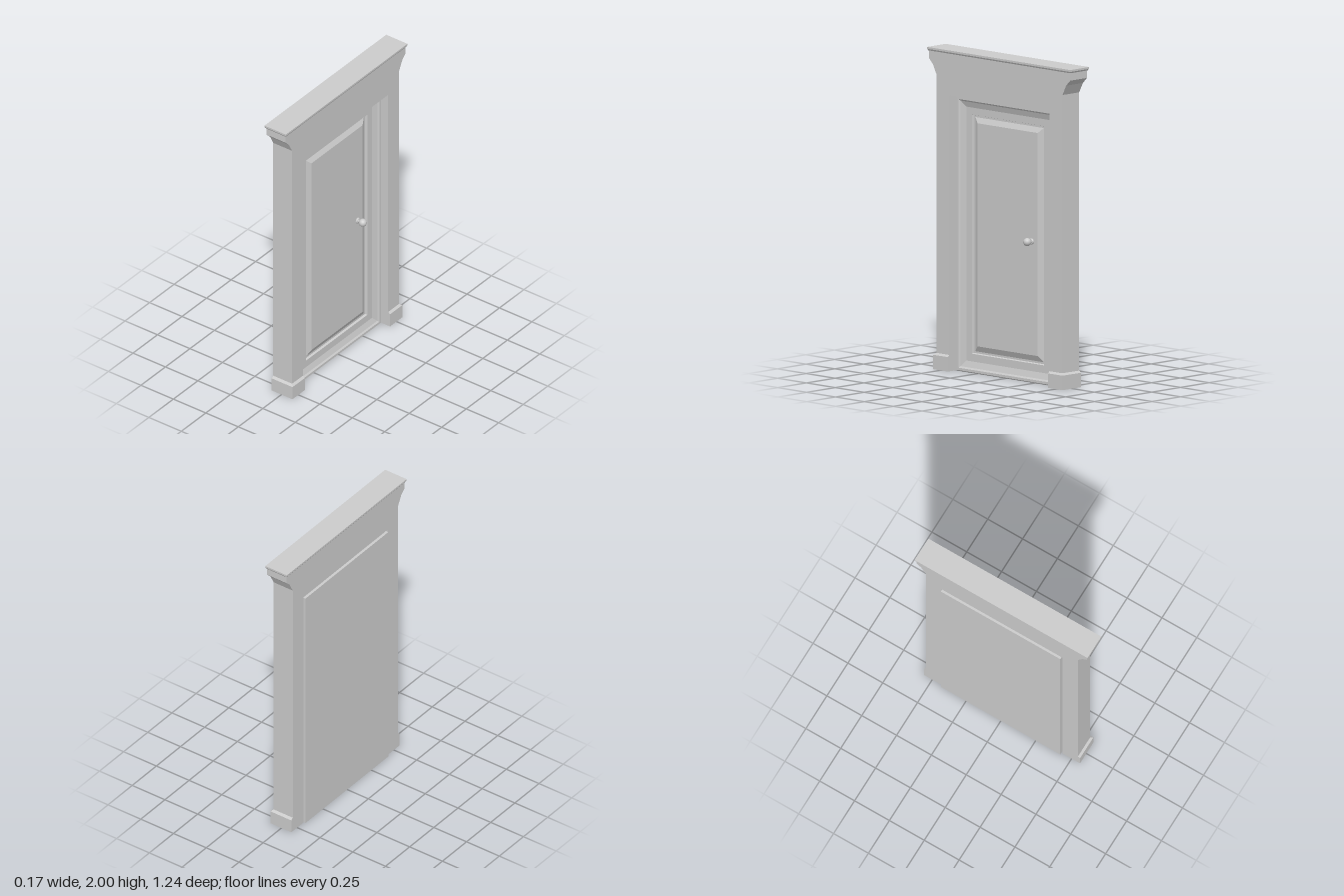
import * as THREE from 'three';

const grey = new THREE.MeshStandardMaterial({ color: 0xcccccc, flatShading: true });
const smooth = new THREE.MeshStandardMaterial({ color: 0xcccccc });

// Closed solid through a stack of four-cornered rings, capped at both ends
function loft(rings) {
  const pos = [];
  const quad = (a, b, c, d) => pos.push(...a, ...b, ...c, ...a, ...c, ...d);
  for (let r = 0; r < rings.length - 1; r++) {
    const a = rings[r], b = rings[r + 1];
    for (let i = 0; i < 4; i++) {
      const j = (i + 1) % 4;
      quad(a[i], a[j], b[j], b[i]);
    }
  }
  const first = rings[0], last = rings[rings.length - 1];
  quad(first[3], first[2], first[1], first[0]);
  quad(...last);
  const geo = new THREE.BufferGeometry();
  geo.setAttribute('position', new THREE.Float32BufferAttribute(pos, 3));
  geo.computeVertexNormals();
  return geo;
}

// Horizontal ring (stacks upward) and ring across the wall (stacks towards +x)
const ringY = (x0, x1, z0, z1, y) => [[x0, y, z1], [x1, y, z1], [x1, y, z0], [x0, y, z0]];
const ringX = (z0, z1, y0, y1, x) => [[x, y0, z1], [x, y0, z0], [x, y1, z0], [x, y1, z1]];

function add(group, name, geo, mat = grey) {
  const mesh = new THREE.Mesh(geo, mat);
  mesh.name = name;
  group.add(mesh);
  return mesh;
}

export function createModel() {
  const model = new THREE.Group();
  model.name = 'doorway';
  const back = -0.075, front = 0.071;

  // Surround: two jambs and a header flaring out under the crown
  const half = [[0.434, 1.718], [0.434, 0], [0.545, 0], [0.545, 1.835], [0.577, 1.897], [0.605, 1.925], [0.612, 1.932], [0.612, 1.985]];
  const outline = [...half, ...half.map(([u, y]) => [-u, y]).reverse()];
  const shape = new THREE.Shape(outline.map(([u, y]) => new THREE.Vector2(u, y)));
  const surround = new THREE.ExtrudeGeometry(shape, { depth: front - back, bevelEnabled: false });
  surround.rotateY(Math.PI / 2).translate(back, 0, 0);
  add(model, 'surround', surround);

  // Crown slab with a chamfered lower edge
  add(model, 'crown', loft([
    ringY(back - 0.004, front + 0.003, -0.614, 0.614, 1.979),
    ringY(back - 0.01, front + 0.008, -0.62, 0.62, 1.988),
    ringY(back - 0.01, front + 0.008, -0.62, 0.62, 2.0),
  ]));

  // Plinth block with a chamfered top at the foot of each jamb
  for (const side of [1, -1]) {
    const span = (a, b) => (side > 0 ? [a, b] : [-b, -a]);
    add(model, side > 0 ? 'leftPlinth' : 'rightPlinth', loft([
      ringY(back, 0.085, ...span(0.434, 0.56), 0),
      ringY(back, 0.085, ...span(0.434, 0.56), 0.09),
      ringY(back, front, ...span(0.434, 0.545), 0.102),
    ]));
  }

  // Door leaf: rim, dished border, recessed step and raised panel, as [inset, x]
  const profile = [[0, -0.088], [0, 0.014], [0.005, 0.02], [0.02, 0.02], [0.03, 0.012],
    [0.068, 0], [0.116, 0], [0.12, -0.014], [0.132, -0.014], [0.168, 0.003]];
  add(model, 'doorLeaf', loft(profile.map(([d, x]) =>
    ringX(-0.431 + d, 0.426 - d, d, 1.712 - d * 0.92, x))));

  // Knob: rose, neck and ball turned about the x axis
  const knob = new THREE.Group();
  knob.name = 'knob';
  const turned = (pts) => new THREE.LatheGeometry(pts.map(([r, h]) => new THREE.Vector2(r, h)), 24).rotateZ(-Math.PI / 2);
  add(knob, 'rose', turned([[0.019, 0], [0.019, 0.006], [0.015, 0.01], [0, 0.01]]), grey);
  add(knob, 'neck', turned([[0.01, 0.008], [0.008, 0.016], [0.01, 0.026]]), smooth);
  const ball = add(knob, 'ball', new THREE.SphereGeometry(0.025, 24, 16), smooth);
  ball.position.x = 0.04;
  knob.position.set(0.003, 0.877, -0.212);
  model.add(knob);

  return model;
}
